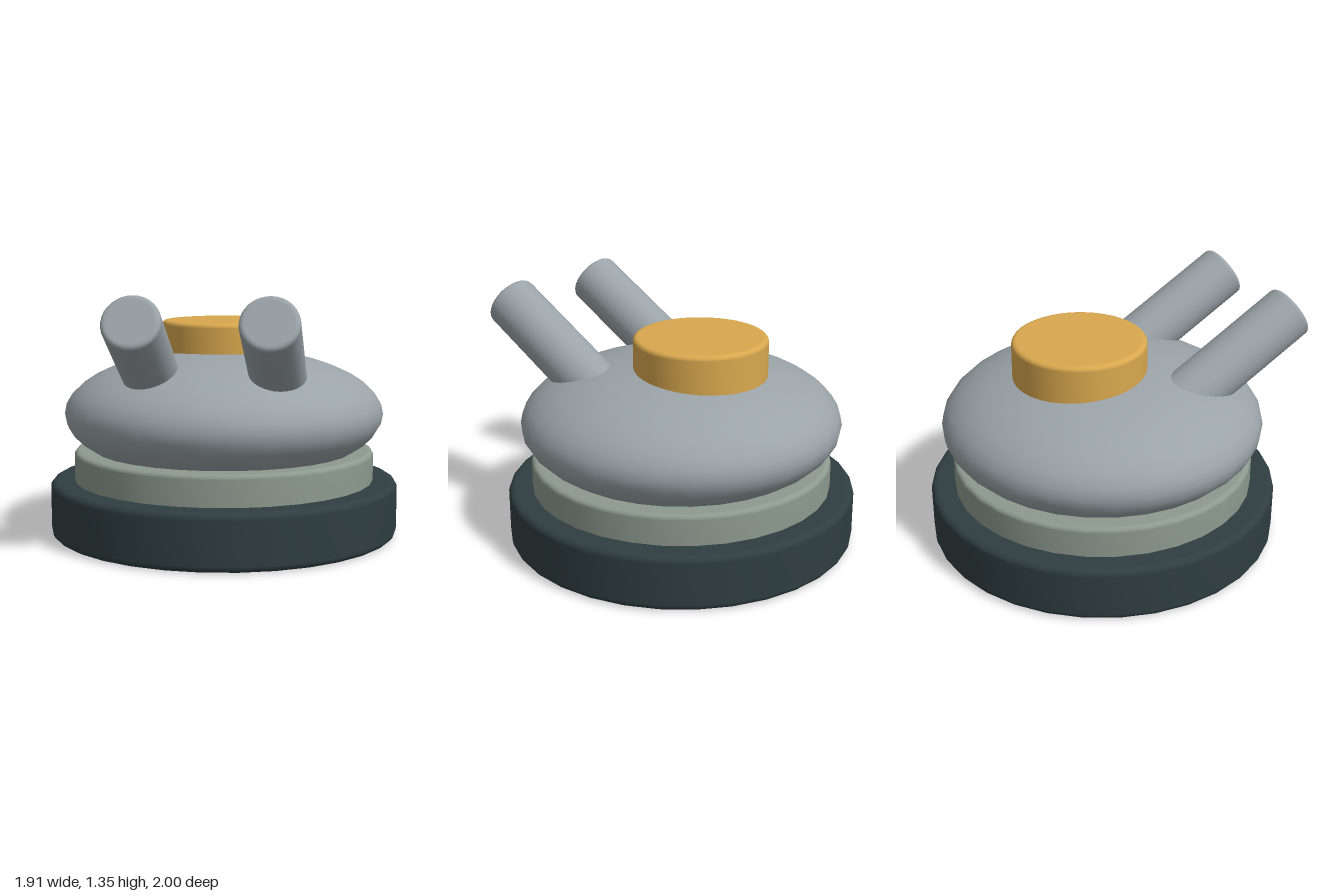
import * as THREE from 'three';

const material = (color) => new THREE.MeshStandardMaterial({ color });

// Solid disc or rod along +y from y0 to y1, with rounded rims
function roundedCylinder(radius, y0, y1, bevel, segments) {
  const steps = 4;
  const points = [new THREE.Vector2(0, y0), new THREE.Vector2(radius - bevel - 0.004, y0)];
  for (let i = 0; i <= steps; i++) {
    const a = (i / steps) * Math.PI / 2;
    points.push(new THREE.Vector2(radius - bevel + bevel * Math.sin(a), y0 + bevel - bevel * Math.cos(a)));
  }
  for (let i = 0; i <= steps; i++) {
    const a = (i / steps) * Math.PI / 2;
    points.push(new THREE.Vector2(radius - bevel + bevel * Math.cos(a), y1 - bevel + bevel * Math.sin(a)));
  }
  points.push(new THREE.Vector2(radius - bevel - 0.004, y1), new THREE.Vector2(0, y1));
  return new THREE.LatheGeometry(points, segments);
}

export function createModel() {
  const model = new THREE.Group();
  model.name = 'turret';
  const steel = material(0x9aa3a8);
  const centreZ = -0.04;

  const add = (name, geometry, mat, x, y, z) => {
    const mesh = new THREE.Mesh(geometry, mat);
    mesh.name = name;
    mesh.position.set(x, y, z);
    model.add(mesh);
    return mesh;
  };

  // Base and turning ring
  add('base', roundedCylinder(0.957, 0, 0.3, 0.035, 32), material(0x2f3e41), 0, 0, centreZ);
  add('turningRing', roundedCylinder(0.825, 0.27, 0.465, 0.025, 32), material(0x8d9a8f), 0, 0, centreZ);

  // Flattened dome body
  const dome = new THREE.SphereGeometry(0.875, 32, 20);
  dome.rotateY(Math.PI / 2);
  dome.scale(1, 0.4, 1);
  add('domeBody', dome, steel, 0, 0.665, centreZ);

  // Hatch on top, set towards the back
  add('hatch', roundedCylinder(0.36, 0.9, 1.165, 0.025, 48), material(0xd9a84e), 0, 0, -0.175);

  // Twin barrels, raised 30 degrees, running back into the dome
  for (const [name, side] of [['leftBarrel', 1], ['rightBarrel', -1]]) {
    const barrel = add(name, roundedCylinder(0.148, -0.8, 0, 0.025, 32), steel, side * 0.332, 1.23, 0.94);
    barrel.rotation.x = Math.PI / 3;
  }

  return model;
}
